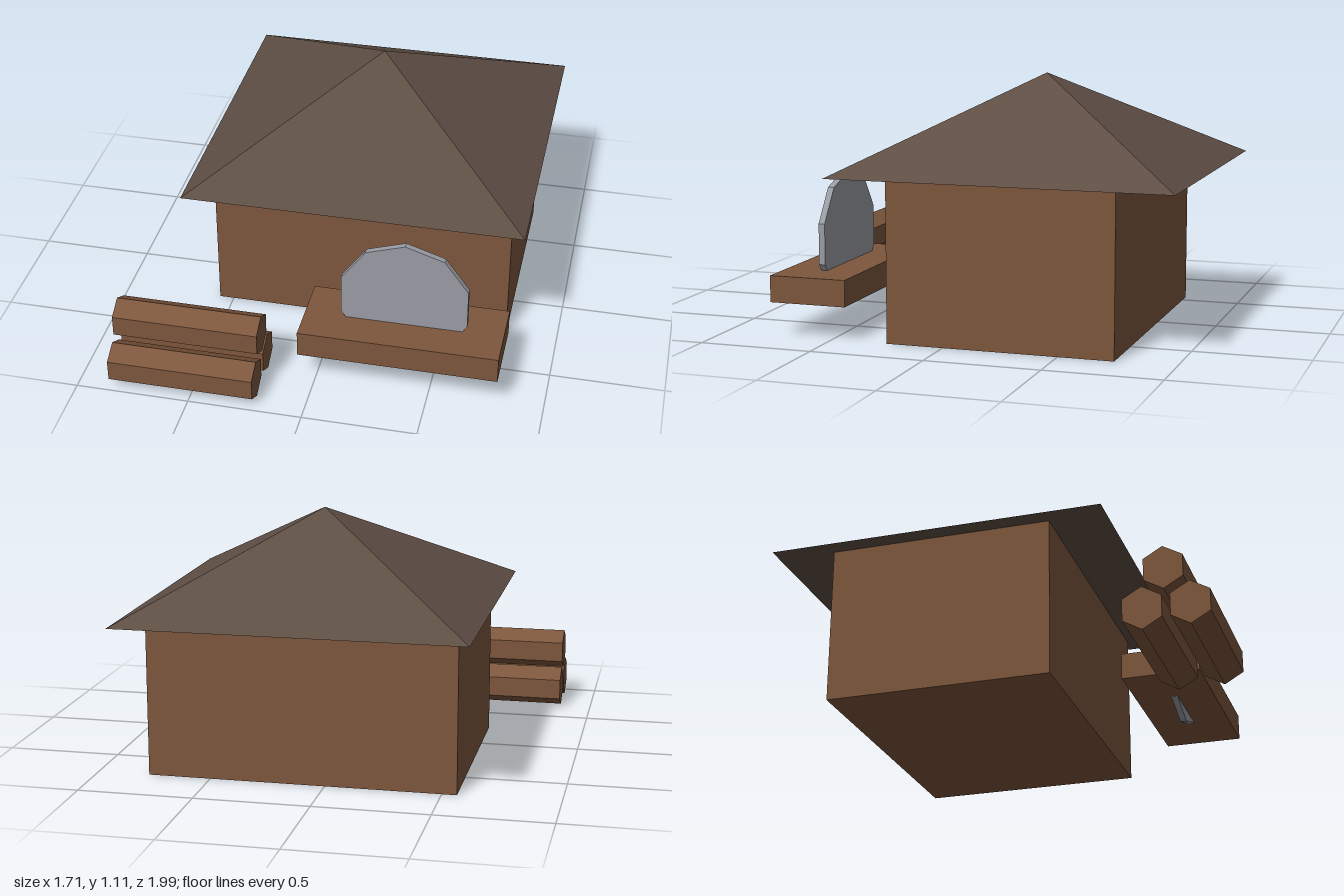
import * as THREE from 'three';

export function createModel() {
  const model = new THREE.Group();
  model.name = 'sawmill';
  const wood = new THREE.MeshStandardMaterial({ name: 'brown wood', color: 0x7d563c, flatShading: true });
  const shingle = new THREE.MeshStandardMaterial({ name: 'dark roof', color: 0x5e4e44, flatShading: true });
  const steel = new THREE.MeshStandardMaterial({ name: 'grey steel', color: 0x9a9ca4, flatShading: true });

  const add = (name, geometry, material, x, y, z) => {
    const mesh = new THREE.Mesh(geometry, material);
    mesh.name = name;
    mesh.position.set(x, y, z);
    model.add(mesh);
    return mesh;
  };

  // House with a square pyramid roof
  add('houseWalls', new THREE.BoxGeometry(1.337, 0.704, 0.99), wood, 0.104, 0.352, -0.245);
  const roof = new THREE.ConeGeometry(0.75 * Math.SQRT2, 0.406, 4).rotateY(Math.PI / 4);
  add('roof', roof, shingle, 0.104, 0.905, -0.25);

  // Saw bench with an upright ten-sided blade through it
  add('sawBench', new THREE.BoxGeometry(0.87, 0.116, 0.345), wood, 0.366, 0.208, 0.6);
  const blade = new THREE.CylinderGeometry(0.29, 0.29, 0.028, 10).rotateX(Math.PI / 2);
  add('sawBlade', blade, steel, 0.366, 0.384, 0.6);

  // Stack of three hexagonal logs lying along x
  const log = new THREE.CylinderGeometry(0.0925, 0.0925, 0.64, 6).rotateZ(Math.PI / 2).rotateX(Math.PI / 2);
  [[0.097, 0.907], [0.097, 0.713], [0.261, 0.803]].forEach(([y, z], i) => {
    add('log' + (i + 1), log, wood, -0.537, y, z);
  });

  return model;
}
